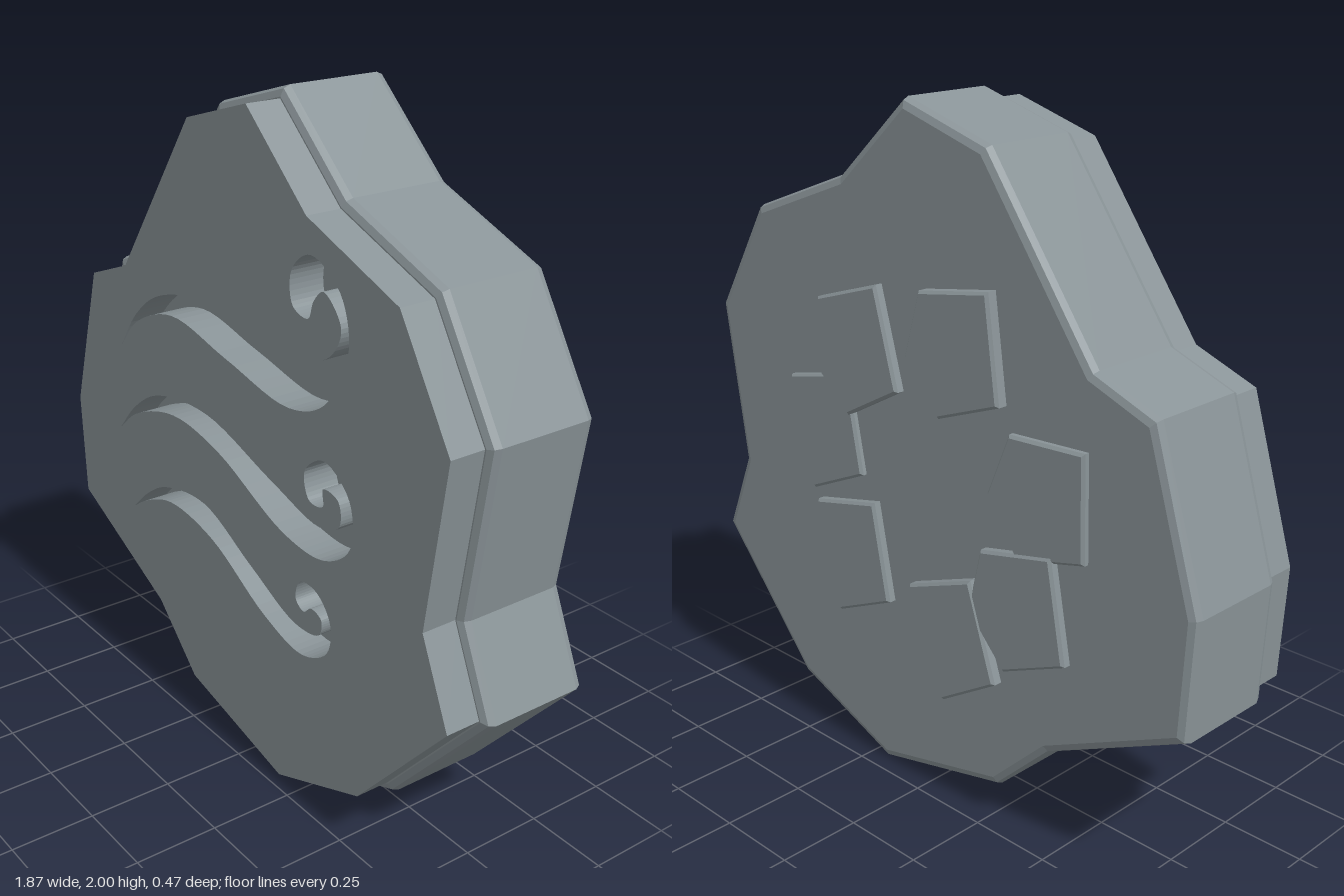
import * as THREE from 'three';

// Tablet silhouette, clockwise from the top peak
const OUTLINE = [
  [0.077, 2], [0.338, 1.765], [0.702, 1.63], [0.905, 1.3], [0.83, 0.81], [0.937, 0.56], [0.573, 0.15], [0.192, 0],
  [-0.275, 0.11], [-0.465, 0.295], [-0.92, 0.515], [-0.937, 0.86], [-0.79, 1.335], [-0.59, 1.41], [-0.225, 1.91],
];

// Knots of each wind swirl in hundredths: tip, upper edge, curl, lower edge
const topSwirl = [
  [-62, 112], [-52, 125], [-39, 134], [-12, 139.5], [28, 136], [42, 140.5], [46.5, 149], [39.5, 156.5],
  [35.3, 153], [33, 147.8], [26.5, 149.5], [26, 158.5], [34, 164.5], [46, 158], [49.5, 144], [40, 127],
  [24.5, 121], [-4.5, 125.5], [-32, 130], [-52, 122.5],
];
const middleSwirl = [
  [-65, 84], [-55, 94.5], [-41.5, 102.5], [-15, 105.5], [16.5, 97], [38, 92], [46.5, 95.5], [46, 102.5],
  [39.5, 103.5], [39.5, 98.5], [33.5, 98], [31.5, 105.5], [40, 111.5], [50.5, 104.5], [51, 91], [40, 83],
  [22, 83.5], [-10, 96], [-33, 99], [-55, 92],
];
const bottomSwirl = [
  [-58.5, 59.5], [-49.5, 67.5], [-39, 73.5], [-17.5, 76.5], [6, 66.5], [27, 58], [38, 59.5], [39, 64.5],
  [34.5, 66], [31, 63.5], [27.5, 66], [29.5, 72], [37, 72], [43, 65], [41.5, 55.5], [30, 49.5],
  [12.5, 53.5], [-14, 66.5], [-36, 69.5], [-50.5, 64.5],
];

// Shared pentagon of the back stones, and each stone's ring angle (degrees), turn and depth
const PENTAGON = [[0.122, 0.142], [-0.13, 0.2], [-0.188, -0.095], [0.032, -0.193], [0.167, -0.053]];
const STONES = [
  [8.5, 0, 0.219], [51, -0.08, 0.229], [107, 0.06, 0.235], [169, 0.17, 0.221],
  [215, 0.01, 0.228], [257, -0.13, 0.232], [317, 0, 0.228],
];

const toVectors = (pts) => pts.map(([x, y]) => new THREE.Vector2(x, y));

// Mitred inset of a clockwise polygon
function inset(pts, t) {
  const n = pts.length;
  const normal = (a, b) => new THREE.Vector2(b.y - a.y, a.x - b.x).normalize();
  return pts.map((p, i) => {
    const n1 = normal(pts[(i + n - 1) % n], p);
    const n2 = normal(p, pts[(i + 1) % n]);
    return p.clone().addScaledVector(n1.clone().add(n2), t / (1 + n1.dot(n2)));
  });
}

// Smooth contour that leaves and returns to a sharp tip
function swirlPath(knots) {
  const loop = [...knots, knots[0]].map(([x, y]) => new THREE.Vector3(x / 100, y / 100, 0));
  const smooth = new THREE.CatmullRomCurve3(loop).getPoints(knots.length * 7);
  return new THREE.Path(smooth.slice(0, -1).map((p) => new THREE.Vector2(p.x, p.y)));
}

// Extrusion between two z planes with an inward bevel
function slab(shape, z0, z1, bevel, segments) {
  const geometry = new THREE.ExtrudeGeometry(shape, {
    depth: z1 - z0 - 2 * bevel, bevelEnabled: bevel > 0, bevelSize: bevel,
    bevelThickness: bevel, bevelOffset: -bevel, bevelSegments: segments,
  });
  return geometry.translate(0, 0, z0 + bevel);
}

export function createModel() {
  const group = new THREE.Group();
  group.name = 'windStoneTablet';
  const stone = new THREE.MeshStandardMaterial({ color: 0x8a9498 });
  stone.name = 'grey stone';
  const add = (name, geometry) => {
    const mesh = new THREE.Mesh(geometry, stone);
    mesh.name = name;
    group.add(mesh);
    return mesh;
  };

  // Thick bevelled slab
  const outline = toVectors(OUTLINE);
  add('tabletBody', slab(new THREE.Shape(outline), -0.2, 0.13, 0.026, 2));

  // Front plate with three swirls cut through to the body; counter-clockwise so the cut walls face inward
  const plate = new THREE.Shape(inset(outline, 0.03).reverse());
  plate.holes = [topSwirl, middleSwirl, bottomSwirl].map(swirlPath);
  add('carvedFrontPlate', slab(plate, 0.125, 0.235, 0, 0));

  // Ring of pentagonal stones on the back
  const pentagon = new THREE.Shape(toVectors(PENTAGON));
  STONES.forEach(([degrees, turn, depth], i) => {
    const angle = THREE.MathUtils.degToRad(degrees);
    const mesh = add(`backStone${i + 1}`, slab(pentagon, -depth, -0.18, 0.008, 1));
    mesh.position.set(0.005 + 0.437 * Math.cos(angle), 0.945 + 0.437 * Math.sin(angle), 0);
    mesh.rotation.z = turn;
  });
  return group;
}
